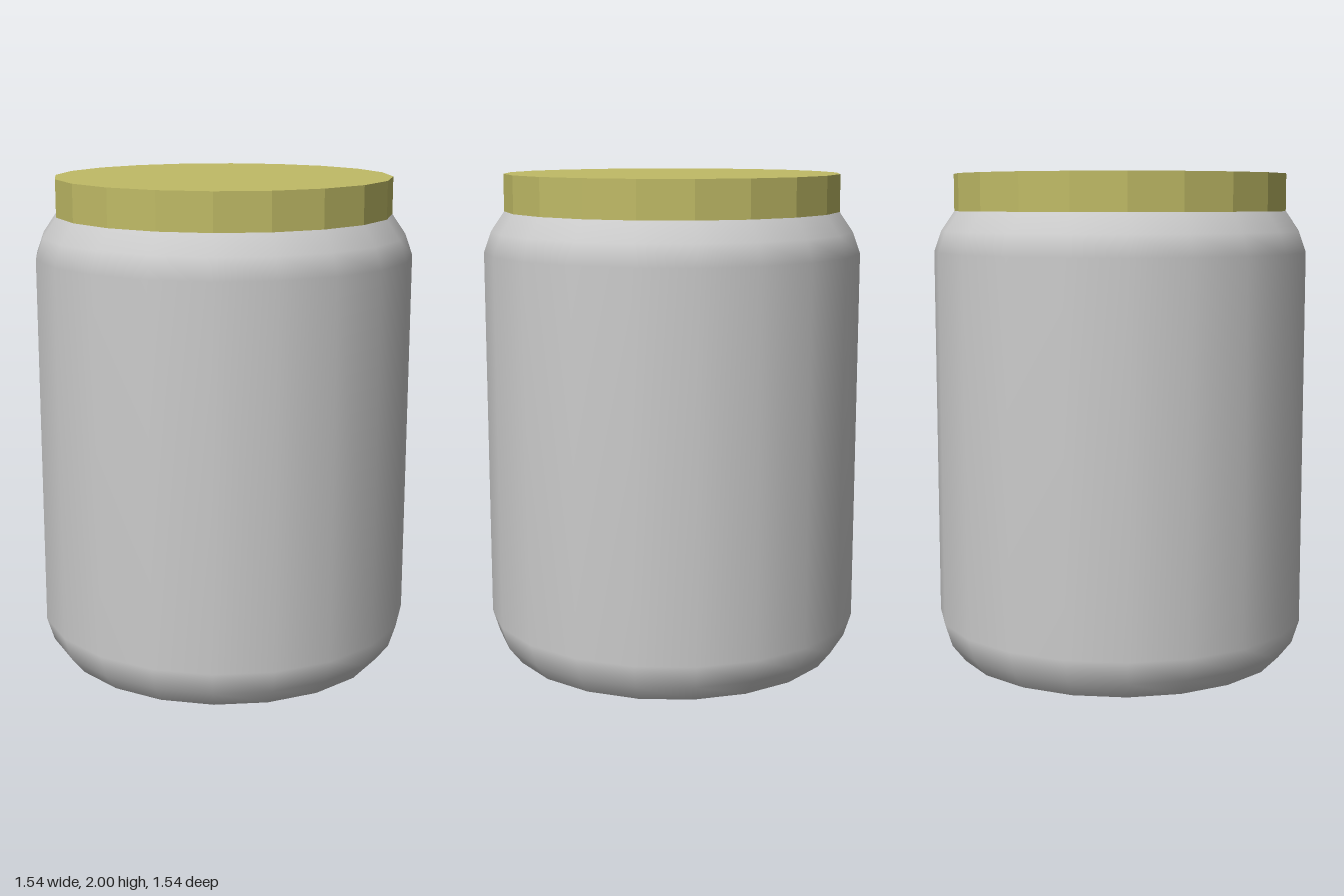
import * as THREE from 'three';

const SIDES = 20;

export function createModel() {
  const model = new THREE.Group();
  model.name = 'jar';
  const glass = new THREE.MeshStandardMaterial({ color: 0xcccccc });
  const lidMaterial = new THREE.MeshStandardMaterial({ color: 0xc0bb66, flatShading: true });

  const add = (name, geometry, material) => {
    const mesh = new THREE.Mesh(geometry, material);
    mesh.name = name;
    model.add(mesh);
    return mesh;
  };

  // Smooth body with rounded foot and shoulder
  const profile = [
    [0.685, 0], [0.74, 0.07], [0.77, 0.165],
    [0.77, 1.685], [0.74, 1.77], [0.685, 1.85],
  ].map(([r, y]) => new THREE.Vector2(r, y));
  add('body', new THREE.LatheGeometry(profile, SIDES), glass);

  // Flat base with a sharp edge
  add('base', new THREE.CircleGeometry(0.685, SIDES).rotateX(Math.PI / 2), glass);

  // Faceted lid closing the mouth
  const lid = add('lid', new THREE.CylinderGeometry(0.685, 0.685, 0.15, SIDES), lidMaterial);
  lid.position.y = 1.925;

  return model;
}
